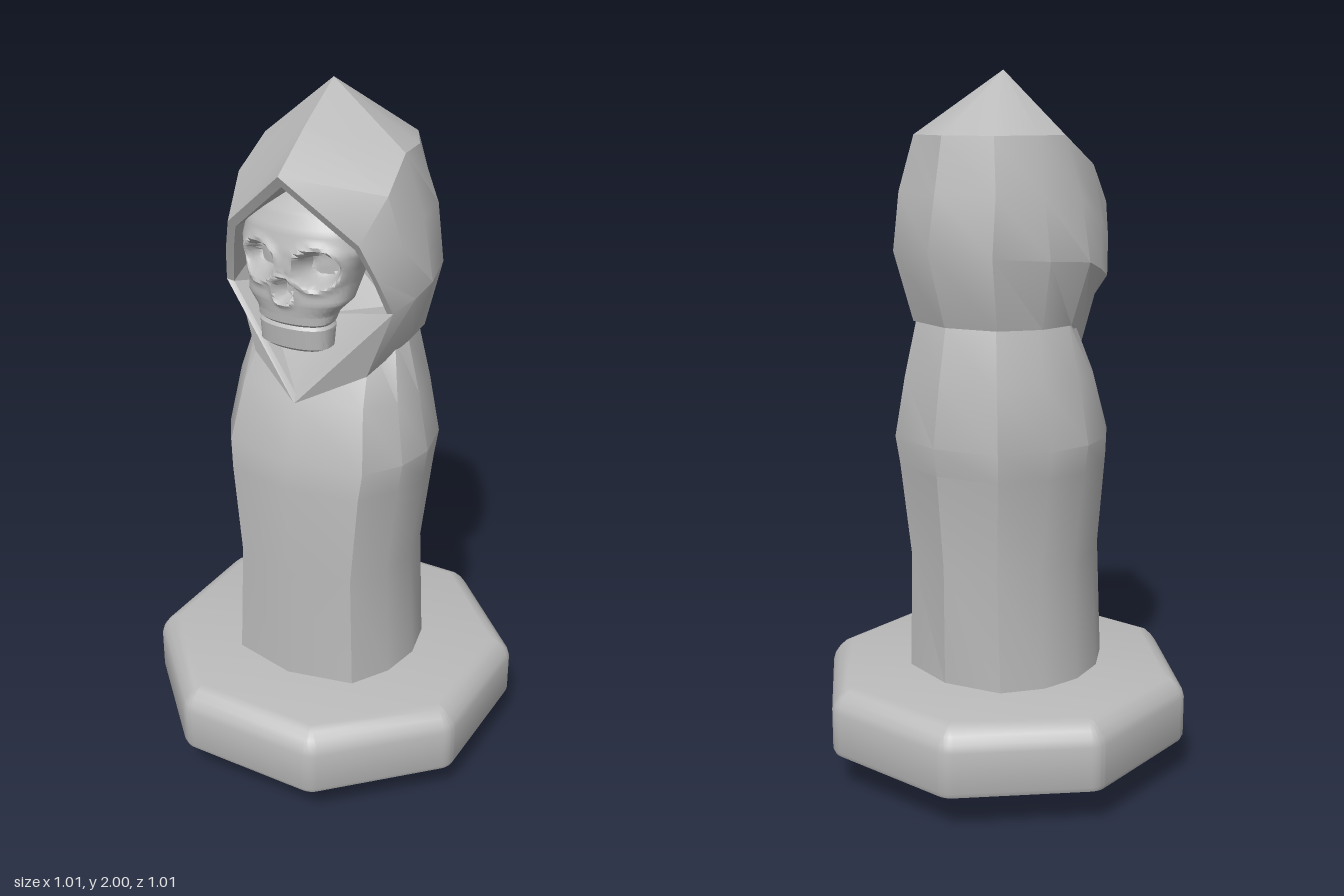
import * as THREE from 'three';
import { toCreasedNormals } from 'three/addons/utils/BufferGeometryUtils.js';

const stone = new THREE.MeshStandardMaterial({ color: 0xbababa, side: THREE.DoubleSide });
stone.name = 'stone grey';

// Skin a stack of point rows; rows run counter-clockwise and stack upwards.
function loft(rows, closed, crease) {
  const n = rows[0].length, index = [];
  for (let i = 0; i < rows.length - 1; i++) {
    for (let j = 0; j < (closed ? n : n - 1); j++) {
      const k = (j + 1) % n;
      const a = i * n + j, b = i * n + k, c = a + n, d = b + n;
      index.push(a, b, c, b, d, c);
    }
  }
  const g = new THREE.BufferGeometry();
  g.setAttribute('position', new THREE.Float32BufferAttribute(rows.flat(2), 3));
  g.setIndex(index);
  return toCreasedNormals(g, crease);
}

// Append the mirror image of a half row, skipping shared centre points.
function mirrorRow(half, skipFirst) {
  const other = half.slice(skipFirst ? 1 : 0, -1).reverse().map(([x, y, z]) => [-x, y, z]);
  return [...half, ...other];
}

function add(group, name, geometry) {
  const mesh = new THREE.Mesh(geometry, stone);
  mesh.name = name;
  group.add(mesh);
}

// Octagon with rounded corners, pulled in by an inset.
function octagonRow(inset, y) {
  const r = Math.max(0.004, 0.06 - inset);
  const centre = (0.505 - inset - r) / Math.cos(Math.PI / 8);
  const row = [];
  for (let k = 0; k < 8; k++) {
    const corner = (k + 0.5) * Math.PI / 4;
    for (let s = 0; s <= 6; s++) {
      const a = corner + (s / 6 - 0.5) * Math.PI / 4;
      row.push([
        centre * Math.sin(corner) + r * Math.sin(a), y,
        centre * Math.cos(corner) + r * Math.cos(a)]);
    }
  }
  return row;
}

function makePlinth() {
  const profile = [[0.255, 0.11], [0.02, 0.11], [0.006, 0.116], [0, 0.13], [0, 0.245],
    [0.006, 0.265], [0.02, 0.285], [0.038, 0.302], [0.06, 0.31], [0.5, 0.31]];
  return loft(profile.map(([inset, y]) => octagonRow(inset, y)), true, 0.75);
}

// Flared round foot with a deep socket.
function makeFoot() {
  const profile = [[0, 0.3], [0.185, 0.3], [0.185, 0.02], [0.195, 0], [0.225, 0], [0.24, 0.012],
    [0.25, 0.045], [0.265, 0.075], [0.285, 0.098], [0.32, 0.111]];
  const g = new THREE.LatheGeometry(profile.map(p => new THREE.Vector2(...p)), 48);
  return toCreasedNormals(g, 0.8);
}

function makeRobe() {
  // Unit half outline from the front centre to the back centre
  const outline = [[0, 1], [0.7, 0.84], [0.93, 0.44], [1, 0], [0.9, -0.44], [0.62, -0.84], [0, -1]];
  // Height, half width, front depth, back depth
  const levels = [[0.3, 0.272, 0.27, 0.262], [0.65, 0.255, 0.262, 0.263], [0.92, 0.288, 0.264, 0.288],
    [1.0, 0.3, 0.255, 0.3], [1.17, 0.268, 0.205, 0.275], [1.33, 0.23, 0.1, 0.245], [1.42, 0.2, 0.02, 0.2]];
  const rows = levels.map(([y, w, front, back]) =>
    mirrorRow(outline.map(([x, z]) => [x * w, y, z * (z > 0 ? front : back)]), true));
  return loft(rows, true, 0.5);
}

// Edge of the face opening, bottom to top
const rim = [[0, 1.165, 0.215], [0.255, 1.45, 0.14], [0.228, 1.55, 0.18], [0.195, 1.645, 0.215], [0, 1.81, 0.278]];

function makeHood() {
  // Columns from the opening round to the back, each bottom to top
  const columns = [
    rim,
    [[0.175, 1.25, 0.13], [0.285, 1.475, 0.07], [0.262, 1.61, 0.1], [0.222, 1.75, 0.115], [0, 1.91, 0.14]],
    [[0.238, 1.325, 0], [0.298, 1.5, 0], [0.268, 1.67, 0], [0.21, 1.83, 0], [0, 2, 0]],
    [[0.225, 1.325, -0.11], [0.265, 1.51, -0.13], [0.245, 1.67, -0.13], [0.2, 1.83, -0.1], [0, 2, 0]],
    [[0.15, 1.325, -0.21], [0.175, 1.52, -0.26], [0.17, 1.68, -0.24], [0.14, 1.83, -0.21], [0, 2, 0]],
    [[0, 1.325, -0.25], [0, 1.53, -0.315], [0, 1.68, -0.285], [0, 1.83, -0.255], [0, 2, 0]],
  ];
  const rows = rim.map((_, i) => mirrorRow(columns.map(c => c[i]), false));
  return loft(rows, false, 0.5);
}

// Rim thickness, cowl floor and the hollow behind the face
function makeHoodLining() {
  const inner = [[0, 1.19, 0.205], [0.235, 1.445, 0.135], [0.208, 1.55, 0.172], [0.178, 1.63, 0.205], [0, 1.78, 0.262]];
  const deep = [[0, 1.38, 0.085], [0.2, 1.43, 0.05], [0.195, 1.55, 0.03], [0.165, 1.64, 0.02], [0, 1.76, 0.02]];
  const centre = rim.map(() => [0, 1.55, -0.03]);
  return loft([rim, inner, deep, centre].map(r => mirrorRow(r, true)), true, 0.4);
}

function makeSkull() {
  // Height, half width, front depth, back depth
  const profile = [[1.335, 0, 0.19, 0.18], [1.336, 0.085, 0.24, 0.14], [1.345, 0.102, 0.25, 0.13],
    [1.4, 0.105, 0.256, 0.12], [1.408, 0.099, 0.249, 0.12], [1.416, 0.106, 0.258, 0.12],
    [1.44, 0.112, 0.26, 0.1], [1.475, 0.145, 0.264, 0.07], [1.52, 0.152, 0.262, 0.03],
    [1.56, 0.162, 0.262, 0.01], [1.61, 0.18, 0.256, 0], [1.66, 0.172, 0.24, 0],
    [1.7, 0.145, 0.215, 0.01], [1.735, 0.09, 0.175, 0.04], [1.75, 0, 0.11, 0.11]];
  const pits = [[0.085, 1.57, 0.06, 0.052, 0.06], [-0.085, 1.57, 0.06, 0.052, 0.06],
    [0, 1.505, 0.03, 0.036, 0.04]];
  const rows = [];
  for (let p = 0; p < profile.length - 1; p++) {
    for (let s = 0; s < 5; s++) {
      const [y, w, front, back] = profile[p].map((v, i) => THREE.MathUtils.lerp(v, profile[p + 1][i], s / 5));
      const row = [];
      for (let k = 0; k < 80; k++) {
        const a = k / 80 * Math.PI * 2, c = Math.cos(a);
        const x = w * Math.sin(a);
        let z = (front + back) / 2 + (front - back) / 2 * Math.sign(c) * Math.abs(c) ** 0.75;
        // Sunken eye sockets and nose, each with a slight raised edge
        if (c > 0) for (const [px, py, rx, ry, depth] of pits) {
          const d = Math.hypot((x - px) / rx, (y - py) / ry);
          z -= depth * (1 - THREE.MathUtils.smoothstep(d, 0.55, 1));
          z += 0.008 * Math.exp(-(((d - 1.1) / 0.14) ** 2));
        }
        row.push([x, y, z]);
      }
      rows.push(row);
    }
  }
  rows.push(rows[0].map(() => [0, 1.75, 0.11]));
  return loft(rows, true, 0.7);
}

export function createModel() {
  const model = new THREE.Group();
  model.name = 'hoodedFigurine';
  add(model, 'foot', makeFoot());
  add(model, 'plinth', makePlinth());
  add(model, 'robe', makeRobe());
  add(model, 'hood', makeHood());
  add(model, 'hoodLining', makeHoodLining());
  add(model, 'skull', makeSkull());
  return model;
}
